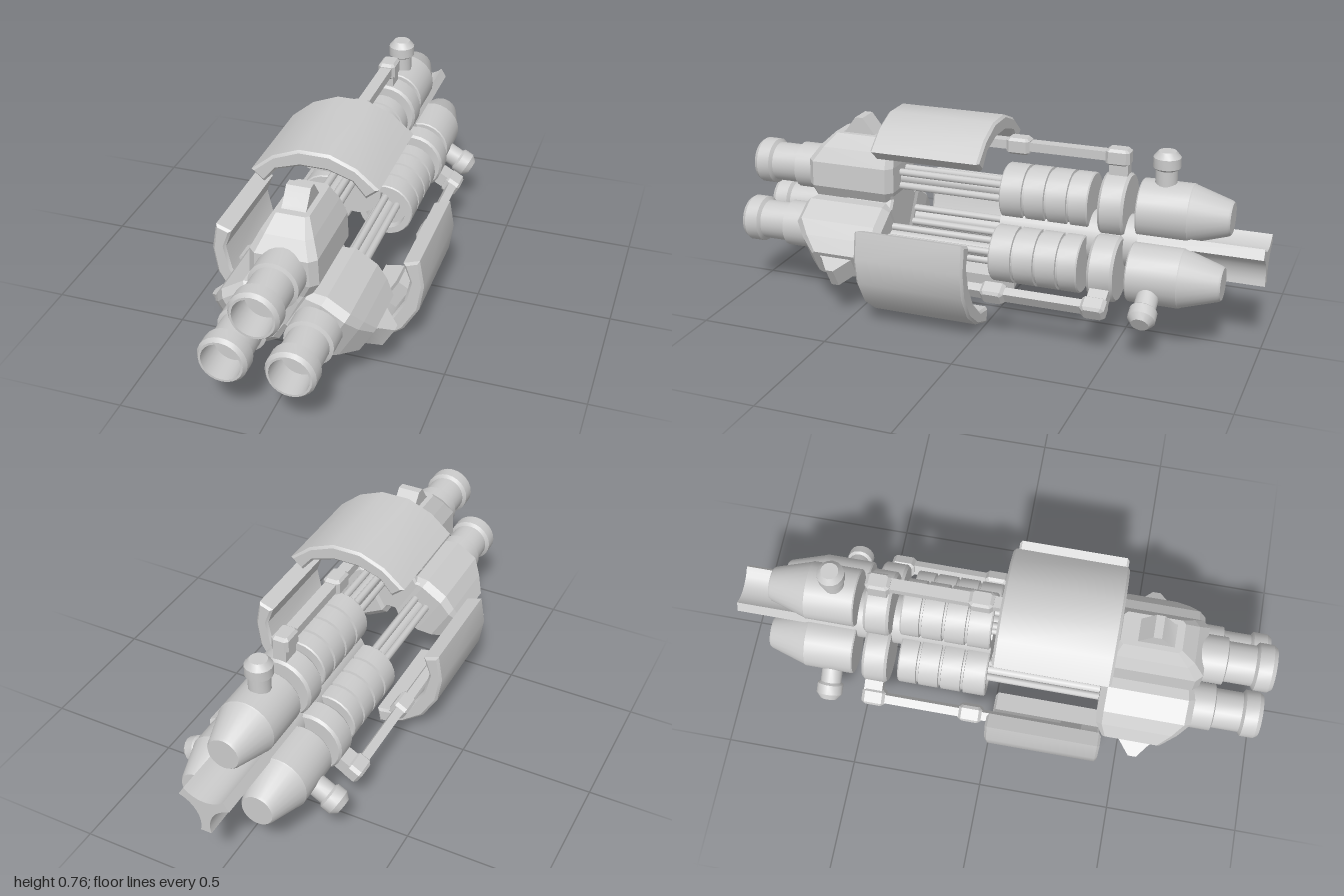
import * as THREE from 'three';
import { toCreasedNormals, mergeGeometries } from 'three/addons/utils/BufferGeometryUtils.js';

const AXIS_Y = 0.348; // height of the central axis
const ARM_R = 0.135;  // distance of each barrel from it
const mat = new THREE.MeshStandardMaterial({ color: 0xcccccc });

function add(parent, name, geo, x = 0, y = 0, z = 0) {
  const mesh = new THREE.Mesh(geo, mat);
  mesh.name = name;
  mesh.position.set(x, y, z);
  parent.add(mesh);
  return mesh;
}

// Turned part: pairs of [radius, height]
function turned(profile, segments = 24) {
  const pts = profile.map(([r, h]) => new THREE.Vector2(r, h));
  return toCreasedNormals(new THREE.LatheGeometry(pts, segments), 0.5);
}
const turnedZ = (profile, segments) => turned(profile, segments).rotateX(Math.PI / 2);

function extruded(points, z0, z1, bevel = 0) {
  const shape = new THREE.Shape(points.map(([x, y]) => new THREE.Vector2(x, y)));
  const geo = new THREE.ExtrudeGeometry(shape, {
    depth: z1 - z0 - 2 * bevel, bevelEnabled: bevel > 0, bevelThickness: bevel,
    bevelSize: bevel, bevelOffset: -bevel, bevelSegments: 1,
  });
  return toCreasedNormals(geo.translate(0, 0, z0 + bevel), 0.45);
}

// Box with chamfered upright corners, lofted through [y, halfWidth, zBack, zFront, chamfer]
function loft(sections) {
  const rings = sections.map(([y, w, b, f, c]) => [
    [w, b + c], [w, f - c], [w - c, f], [c - w, f],
    [-w, f - c], [-w, b + c], [c - w, b], [w - c, b],
  ].map(([x, z]) => [x, y, z]));
  const pos = [];
  const tri = (...p) => p.forEach(q => pos.push(...q));
  for (let i = 0; i < rings.length - 1; i++) {
    for (let j = 0; j < 8; j++) {
      const k = (j + 1) % 8, a = rings[i], b = rings[i + 1];
      tri(a[j], b[j], b[k]);
      tri(a[j], b[k], a[k]);
    }
  }
  const lo = rings[0], hi = rings[rings.length - 1];
  for (let j = 1; j < 7; j++) {
    tri(lo[0], lo[j], lo[j + 1]);
    tri(hi[0], hi[j + 1], hi[j]);
  }
  const geo = new THREE.BufferGeometry();
  geo.setAttribute('position', new THREE.Float32BufferAttribute(pos, 3));
  geo.computeVertexNormals();
  return geo;
}

// Repeats outline points three times around the axis
function threefold(points) {
  const out = [];
  for (let i = 0; i < 3; i++) {
    const a = i * Math.PI * 2 / 3, c = Math.cos(a), s = Math.sin(a);
    points.forEach(([x, y]) => out.push([x * c - y * s, x * s + y * c]));
  }
  return out;
}

function createArm() {
  const arm = new THREE.Group();

  // Muzzle with open bore
  add(arm, 'muzzle', turnedZ([
    [0, 0.70], [0.088, 0.70], [0.088, 0.82], [0.075, 0.825], [0.075, 0.925], [0.088, 0.935],
    [0.088, 0.985], [0.078, 1.0], [0.07, 1.0], [0.066, 0.9], [0, 0.9],
  ]), 0, ARM_R);

  // Faceted front housing and its sight fin
  add(arm, 'frontHousing', loft([
    [0.045, 0.09, 0.41, 0.73, 0.02], [0.10, 0.122, 0.395, 0.745, 0.025],
    [0.195, 0.118, 0.395, 0.745, 0.025], [0.25, 0.092, 0.40, 0.705, 0.022],
    [0.302, 0.062, 0.43, 0.65, 0.012],
  ]));
  const fin = extruded([[-0.64, 0.29], [-0.61, 0.31], [-0.57, 0.364], [-0.54, 0.364], [-0.49, 0.30]].reverse(),
    -0.043, 0.043);
  add(arm, 'housingFin', fin.rotateY(Math.PI / 2));

  // Bundle of guide rods
  const rods = [new THREE.CylinderGeometry(0.027, 0.027, 0.50, 16)];
  for (let i = 0; i < 4; i++) {
    const a = Math.PI / 4 + i * Math.PI / 2;
    rods.push(new THREE.CylinderGeometry(0.014, 0.014, 0.50, 10)
      .translate(0.038 * Math.cos(a), 0, 0.038 * Math.sin(a)));
  }
  add(arm, 'guideRods', mergeGeometries(rods).rotateX(Math.PI / 2), 0, ARM_R, 0.19);

  // Ribbed cylinder with recessed front
  const ribs = [[0, -0.365], [0.102, -0.365], [0.106, -0.36]];
  for (const z of [-0.29, -0.205, -0.12]) {
    ribs.push([0.106, z - 0.006], [0.097, z - 0.004], [0.097, z + 0.004], [0.106, z + 0.006]);
  }
  ribs.push([0.106, -0.035], [0.102, -0.03], [0.078, -0.03], [0.075, -0.06], [0, -0.06]);
  add(arm, 'ribbedCylinder', turnedZ(ribs), 0, ARM_R);

  // Clamp ring
  add(arm, 'clampRing', turnedZ([
    [0, -0.50], [0.112, -0.50], [0.12, -0.49], [0.12, -0.415], [0.112, -0.405], [0, -0.405],
  ]), 0, ARM_R);

  // Tapered rear chamber with cap knob
  add(arm, 'rearChamber', turnedZ([
    [0, -0.87], [0.058, -0.87], [0.064, -0.862], [0.105, -0.73], [0.108, -0.725], [0.108, -0.545],
    [0.104, -0.54], [0, -0.54],
  ]), 0, ARM_R);
  add(arm, 'rearKnob', turned([
    [0, 0.22], [0.04, 0.22], [0.04, 0.29], [0.05, 0.298], [0.05, 0.335], [0.032, 0.357], [0, 0.357],
  ], 16), 0, 0, -0.625);

  // Curved shield
  const half = [[0.055, 0.407], [0.15, 0.369], [0.23, 0.302], [0.183, 0.262], [0.135, 0.319], [0.048, 0.347]];
  const mirrored = half.map(([x, y]) => [-x, y]).reverse();
  add(arm, 'shield', extruded([...half, ...mirrored].reverse(), 0, 0.425, 0.009));

  // Shield rail, joints and link to the clamp ring
  const box = (name, w, y0, y1, z0, z1) => add(arm, name,
    new THREE.BoxGeometry(w, y1 - y0, z1 - z0), 0, (y0 + y1) / 2, (z0 + z1) / 2);
  box('shieldRail', 0.044, 0.302, 0.335, -0.48, 0.34);
  for (const [z0, z1] of [[-0.12, -0.03], [-0.495, -0.405]]) {
    add(arm, 'railJoint', loft([[0.286, 0.022, z0 + 0.012, z1 - 0.012, 0.006],
      [0.295, 0.033, z0, z1, 0.012], [0.338, 0.033, z0, z1, 0.012],
      [0.348, 0.024, z0 + 0.012, z1 - 0.012, 0.006]]));
  }
  box('railLink', 0.05, 0.23, 0.30, -0.49, -0.42);
  box('shieldFoot', 0.10, 0.30, 0.352, 0.27, 0.35);
  return arm;
}

export function createModel() {
  const model = new THREE.Group();
  model.name = 'threeBarrelAssembly';
  const body = new THREE.Group();
  body.name = 'body';
  body.position.y = AXIS_Y;
  model.add(body);

  ['topArm', 'rightArm', 'leftArm'].forEach((name, i) => {
    const arm = createArm();
    arm.name = name;
    arm.rotation.z = i * Math.PI * 2 / 3;
    body.add(arm);
  });

  // Central shaft and front hub joining the three housings
  add(body, 'centralShaft', turnedZ([[0, -0.62], [0.098, -0.62], [0.098, -0.03], [0, -0.03]], 30));
  add(body, 'frontHub', extruded(threefold([[-0.04, -0.15], [-0.015, -0.113], [0.015, -0.113], [0.04, -0.15]]),
    0.40, 0.60, 0.008));

  // Tail with three hollows cradling the rear chambers
  const tail = [];
  for (let i = 0; i <= 8; i++) {
    const a = -0.793 + 1.586 * i / 8;
    tail.push([-0.105 * Math.sin(a), 0.14 - 0.105 * Math.cos(a)]);
  }
  add(body, 'tail', extruded(threefold(tail), -1.0, -0.55));
  return model;
}
